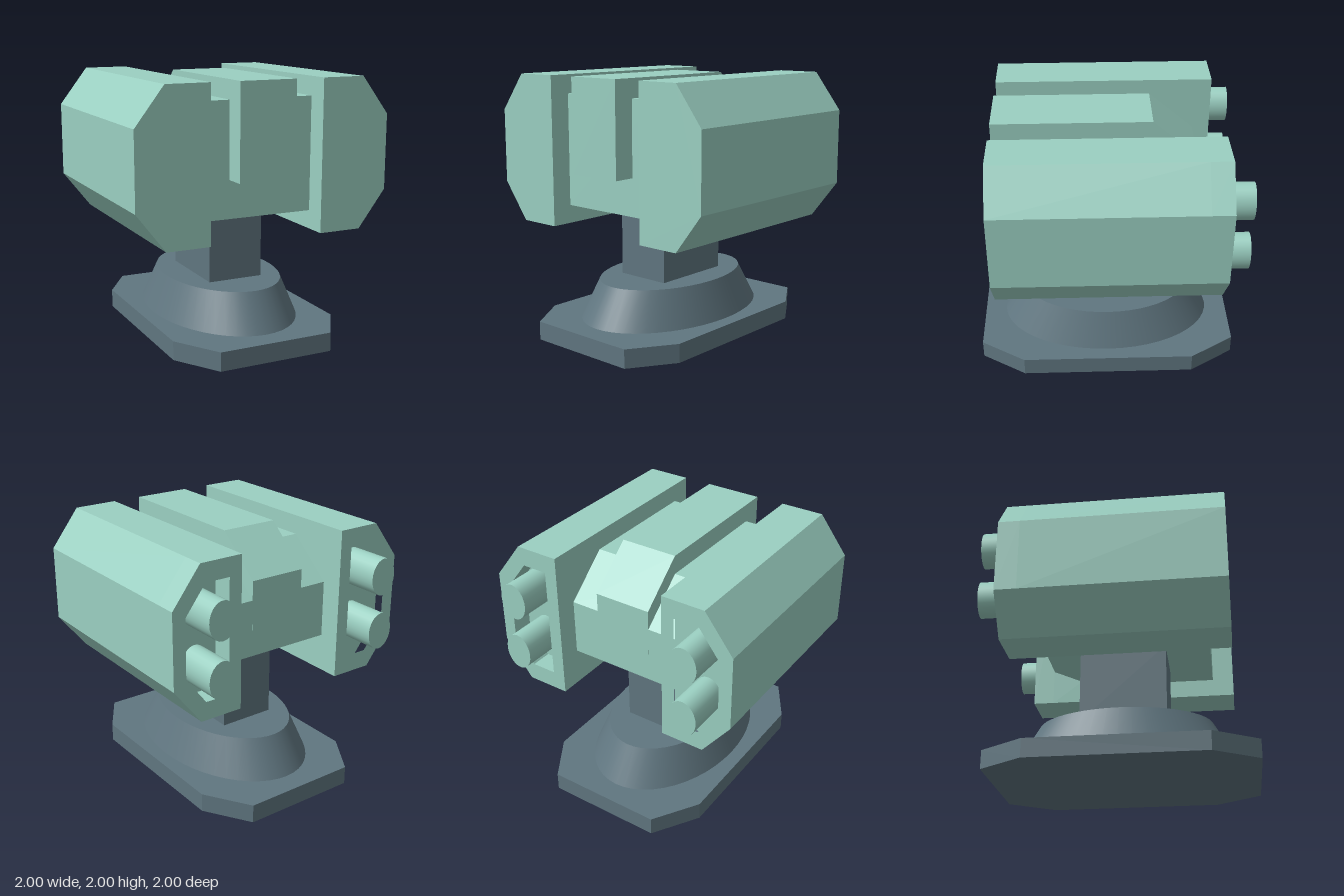
import * as THREE from 'three';

const green = new THREE.MeshStandardMaterial({ color: 0x9bd0c2, flatShading: true });
const slate = new THREE.MeshStandardMaterial({ color: 0x607680, flatShading: true });
const slateSmooth = new THREE.MeshStandardMaterial({ color: 0x607680 });

const toVectors = (pts) => pts.map(([x, y]) => new THREE.Vector2(x, y));

// Extrude an outline in x,y along z from z0 to z1, with an optional hole
function prism(pts, z0, z1, hole) {
  const shape = new THREE.Shape(toVectors(pts));
  if (hole) shape.holes.push(new THREE.Path(toVectors(hole)));
  return new THREE.ExtrudeGeometry(shape, { depth: z1 - z0, bevelEnabled: false }).translate(0, 0, z0);
}

// Extrude a side outline given as z,y pairs across the width
const sideProfile = (pts, halfWidth) => prism(pts, -halfWidth, halfWidth).rotateY(-Math.PI / 2);

function add(parent, name, geometry, material) {
  const mesh = new THREE.Mesh(geometry, material);
  mesh.name = name;
  parent.add(mesh);
  return mesh;
}

// Launcher pod: solid box with chamfered outer edges, recessed back and two tubes
function createPod(side) {
  const pod = new THREE.Group();
  pod.name = side > 0 ? 'leftPod' : 'rightPod';
  const mirror = (pts) => pts.map(([x, y]) => [x * side, y]);
  const outline = mirror([[0.445, 0.86], [0.78, 0.86], [1, 1.145], [1, 1.715], [0.78, 2], [0.445, 2]]);
  const recess = mirror([[0.545, 1], [0.74, 1], [0.9, 1.21], [0.9, 1.65], [0.74, 1.86], [0.545, 1.86]]);
  add(pod, 'podHousing', prism(outline, -0.67, 0.833), green);
  add(pod, 'podBackRim', prism(outline, -0.833, -0.67, recess), green);
  for (const y of [1.22, 1.645]) {
    const tube = new THREE.CylinderGeometry(1, 1, 0.33, 24).rotateX(Math.PI / 2);
    tube.scale(0.11, 0.142, 1).translate(0.72 * side, y, -0.835);
    const material = green.clone();
    material.flatShading = false;
    add(pod, 'exhaustTube', tube, material);
  }
  return pod;
}

export function createModel() {
  const model = new THREE.Group();
  model.name = 'launcherTurret';

  // Base: octagonal plate, oval frustum and column
  const plate = [[0.45, 1], [0.665, 0.66], [0.665, -0.66], [0.45, -1],
    [-0.45, -1], [-0.665, -0.66], [-0.665, 0.66], [-0.45, 1]];
  add(model, 'basePlate', prism(plate, 0, 0.143).rotateX(-Math.PI / 2), slate);

  const cone = new THREE.CylinderGeometry(0.8, 1, 0.287, 48);
  cone.scale(0.556, 1, 0.833).translate(0, 0.2865, 0);
  add(model, 'baseFrustum', cone, slateSmooth);

  add(model, 'column', new THREE.BoxGeometry(0.44, 0.6, 0.66).translate(0, 0.72, 0), slate);

  // Central body with sloped back, and the raised spine along its middle
  const body = [[0.667, 1], [0.667, 1.857], [-0.333, 1.857], [-0.667, 1.57], [-0.667, 1.143], [-0.333, 1]];
  add(model, 'body', sideProfile(body, 0.447), green);
  const spine = [[0.833, 1.286], [0.833, 2], [-0.333, 2], [-0.668, 1.714], [-0.668, 1.286]];
  add(model, 'spine', sideProfile(spine, 0.222), green);

  for (const side of [1, -1]) model.add(createPod(side));
  return model;
}
